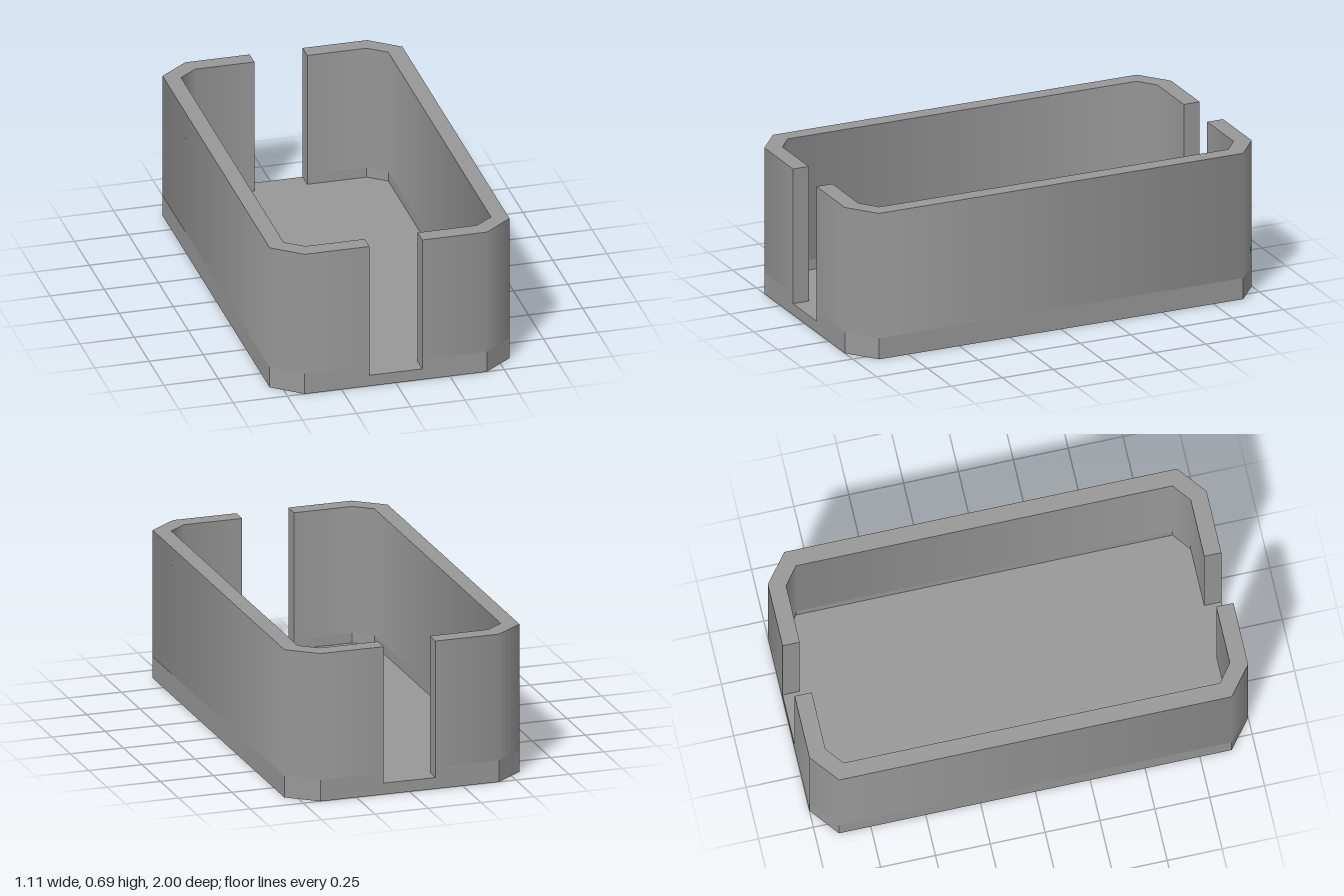
import * as THREE from 'three';

const FLOOR = 0.053, BAND = 0.1, TOP = 0.692; // heights of floor, lower band, rim
const SLOT = 0.122; // half width of the end slots

// Footprint of one half of the tray wall, a C open towards x = 0
const outer = [[SLOT, -1], [0.42, -1], [0.553, -0.895], [0.553, 0.895], [0.42, 1], [SLOT, 1]];
const inner = [[SLOT, 0.922], [0.395, 0.922], [0.478, 0.858], [0.478, -0.858], [0.395, -0.922], [SLOT, -0.922]];

// Extrude a footprint upwards from y0 to y1
function slab(points, y0, y1) {
  const shape = new THREE.Shape(points.map(([x, z]) => new THREE.Vector2(x, z)));
  const geometry = new THREE.ExtrudeGeometry(shape, { depth: y1 - y0, bevelEnabled: false });
  return geometry.rotateX(-Math.PI / 2).translate(0, y0, 0);
}

// Blend the two side faces meeting at each upright edge, unless they turn sharply
function softenUprights(geometry) {
  const { position, normal } = geometry.attributes;
  const edges = new Map();
  const faces = [];
  for (let i = 0; i < position.count; i++) {
    const n = new THREE.Vector3().fromBufferAttribute(normal, i);
    faces.push(n);
    if (Math.abs(n.y) > 0.5) continue;
    const key = `${position.getX(i).toFixed(3)},${position.getZ(i).toFixed(3)}`;
    if (!edges.has(key)) edges.set(key, { sides: [], corners: [] });
    const edge = edges.get(key);
    edge.corners.push(i);
    if (!edge.sides.some((s) => s.dot(n) > 0.999)) edge.sides.push(n);
  }
  for (const { sides, corners } of edges.values()) {
    for (const i of corners) {
      const sum = new THREE.Vector3();
      for (const s of sides) if (s.dot(faces[i]) > 0.5) sum.add(s);
      sum.normalize();
      normal.setXYZ(i, sum.x, sum.y, sum.z);
    }
  }
  return geometry;
}

export function createModel() {
  const group = new THREE.Group();
  const flat = new THREE.MeshStandardMaterial({ color: 0x989898, flatShading: true });
  const smooth = new THREE.MeshStandardMaterial({ color: 0x989898 });

  const add = (name, geometry, material, turn = 0) => {
    const mesh = new THREE.Mesh(geometry, material);
    mesh.name = name;
    mesh.rotation.y = turn;
    group.add(mesh);
  };

  // Floor plate with chamfered corners
  const half = outer.slice(1, 5);
  add('floor', slab([...half, ...half.map(([x, z]) => [-x, -z])], 0, FLOOR), flat);

  // Two wall halves, each a faceted lower band and a softly shaded upper wall
  const band = slab([...outer, ...inner], FLOOR, BAND);
  const wall = softenUprights(slab([...outer, ...inner], BAND, TOP));
  for (const [side, turn] of [['left', 0], ['right', Math.PI]]) {
    add(side + 'LowerBand', band, flat, turn);
    add(side + 'Wall', wall, smooth, turn);
  }
  return group;
}
